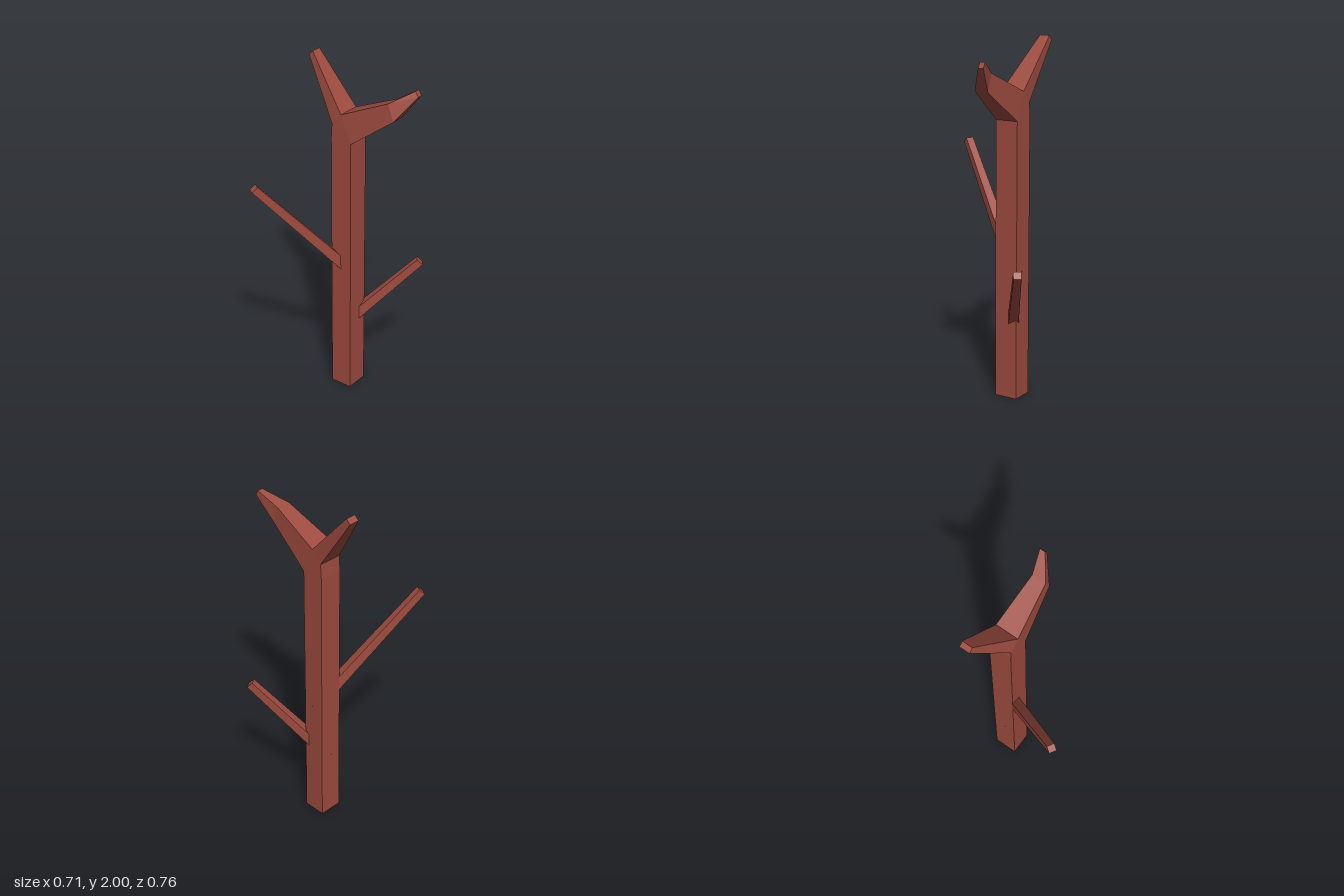
import * as THREE from 'three';

const bark = new THREE.MeshStandardMaterial({ color: 0x9e4b3f, flatShading: true });
const BACK = -0.185, FRONT = -0.05;

// Joins four-cornered sections (counter-clockwise seen from the far end) into a closed solid
function loft(sections) {
  const pos = [];
  const quad = (a, b, c, d) => [a, b, c, a, c, d].forEach(p => pos.push(p.x, p.y, p.z));
  for (let s = 0; s < sections.length - 1; s++) {
    const lo = sections[s], hi = sections[s + 1];
    for (let i = 0; i < 4; i++) {
      const j = (i + 1) % 4;
      quad(lo[i], lo[j], hi[j], hi[i]);
    }
  }
  const [a, b, c, d] = sections[0];
  quad(d, c, b, a);
  quad(...sections[sections.length - 1]);
  const geo = new THREE.BufferGeometry();
  geo.setAttribute('position', new THREE.Float32BufferAttribute(pos, 3));
  geo.computeVertexNormals();
  return geo;
}

// Limb section: an edge from p to q in the x-y plane, spanned from back to front
function slab([px, py], [qx, qy], back, front) {
  return [
    new THREE.Vector3(px, py, back), new THREE.Vector3(px, py, front),
    new THREE.Vector3(qx, qy, front), new THREE.Vector3(qx, qy, back),
  ];
}

// Tapered square twig between two points
function twig(from, to, w0, w1) {
  const a = new THREE.Vector3(...from), b = new THREE.Vector3(...to);
  const dir = b.clone().sub(a).normalize();
  const side = new THREE.Vector3(0, 1, 0).cross(dir).normalize();
  const up = dir.clone().cross(side);
  const square = (c, w) => [[-1, -1], [1, -1], [1, 1], [-1, 1]].map(([u, v]) =>
    c.clone().addScaledVector(side, u * w / 2).addScaledVector(up, v * w / 2));
  return loft([square(a, w0), square(b, w1)]);
}

export function createModel() {
  const group = new THREE.Group();
  const add = (name, geo) => {
    const mesh = new THREE.Mesh(geo, bark);
    mesh.name = name;
    group.add(mesh);
  };

  // Square trunk with a slanted top where the limbs fork
  const lowRight = [0.01, 1.57], crotch = [-0.055, 1.725], lowLeft = [-0.115, 1.66];
  const outline = [[-0.12, 0], [0.01, 0], lowRight, crotch, lowLeft, [-0.12, 1.58]];
  const trunk = new THREE.ExtrudeGeometry(
    new THREE.Shape(outline.map(p => new THREE.Vector2(...p))),
    { depth: FRONT - BACK, bevelEnabled: false });
  trunk.translate(0, 0, BACK);
  add('trunk', trunk);

  // Forked limbs
  add('rightLimb', loft([
    slab(lowLeft, crotch, BACK, FRONT),
    slab([-0.33, 1.975], [-0.305, 2.0], -0.193, -0.133),
  ]));
  add('leftLimb', loft([
    slab(crotch, lowRight, BACK, FRONT),
    slab([0.225, 1.85], [0.26, 1.755], -0.162, -0.08),
    slab([0.337, 1.92], [0.354, 1.89], -0.195, -0.163),
  ]));

  // Side twigs, rooted inside the trunk
  add('frontTwig', twig([-0.03, 0.71, -0.152], [-0.33, 1.37, 0.355], 0.06, 0.042));
  add('backTwig', twig([-0.088, 0.375, -0.1], [0.273, 0.81, -0.353], 0.06, 0.043));

  return group;
}
